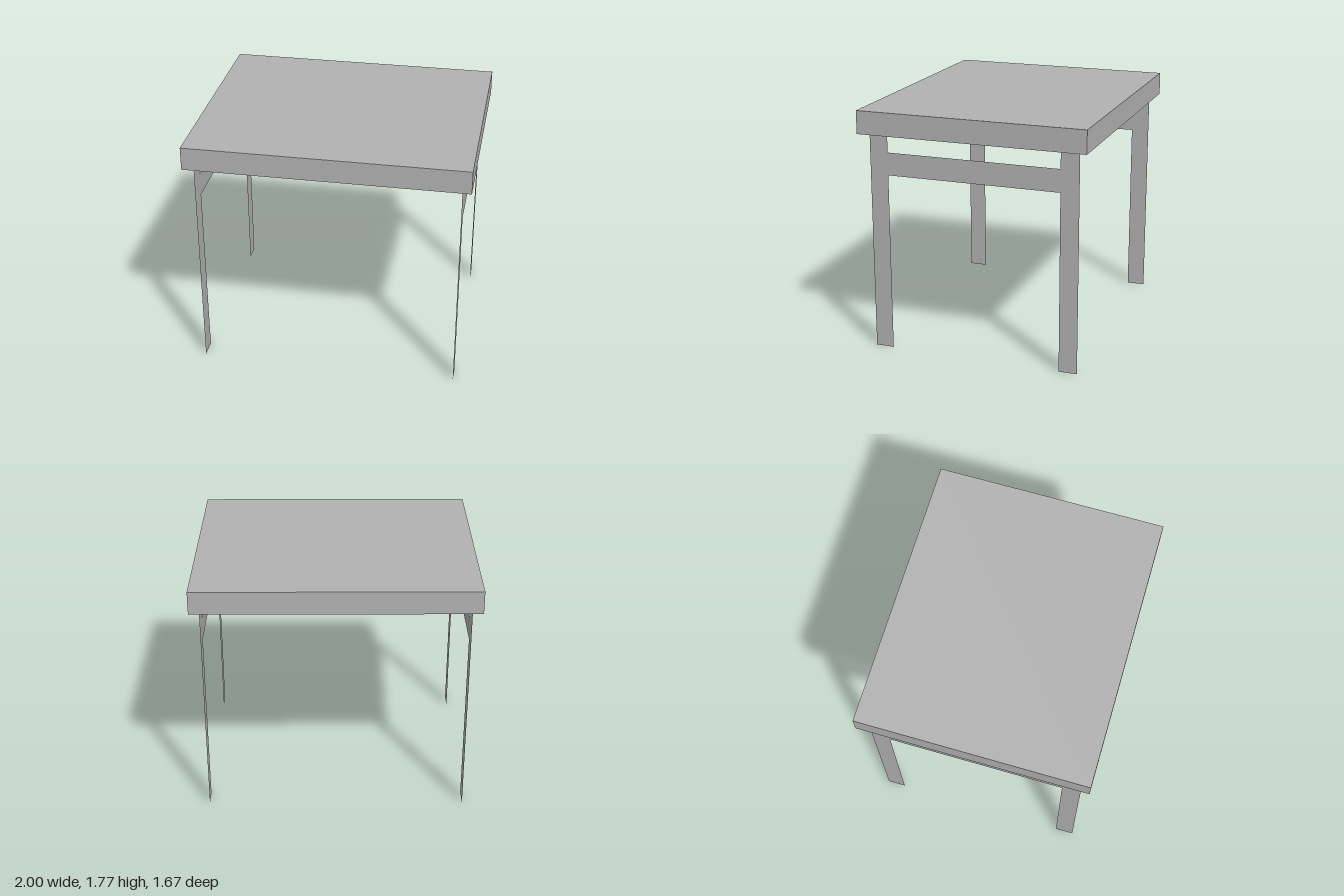
import * as THREE from 'three';

export function createModel() {
  const grey = new THREE.MeshStandardMaterial({ color: 0xb2b2b2, side: THREE.DoubleSide });
  grey.name = 'plain grey';
  const table = new THREE.Group();
  table.name = 'table';

  // Thick rectangular top
  const top = new THREE.Mesh(new THREE.BoxGeometry(2, 0.167, 1.666), grey);
  top.name = 'tableTop';
  top.position.y = 1.6835;
  table.add(top);

  // Flat side frame: two legs joined by a rail, in one sheet
  const outer = 0.767, inner = 0.633, height = 1.6, railLow = 1.303, railHigh = 1.468;
  const outline = [
    [-outer, 0], [-inner, 0], [-inner, railLow], [inner, railLow], [inner, 0], [outer, 0],
    [outer, height], [inner, height], [inner, railHigh], [-inner, railHigh], [-inner, height], [-outer, height],
  ].map(([z, y]) => new THREE.Vector2(z, y));
  const frameGeometry = new THREE.ShapeGeometry(new THREE.Shape(outline));
  frameGeometry.rotateY(Math.PI / 2);

  // One frame at each end
  for (const side of [-1, 1]) {
    const frame = new THREE.Mesh(frameGeometry, grey);
    frame.name = side > 0 ? 'leftLegFrame' : 'rightLegFrame';
    frame.position.x = side * 0.933;
    table.add(frame);
  }
  return table;
}
